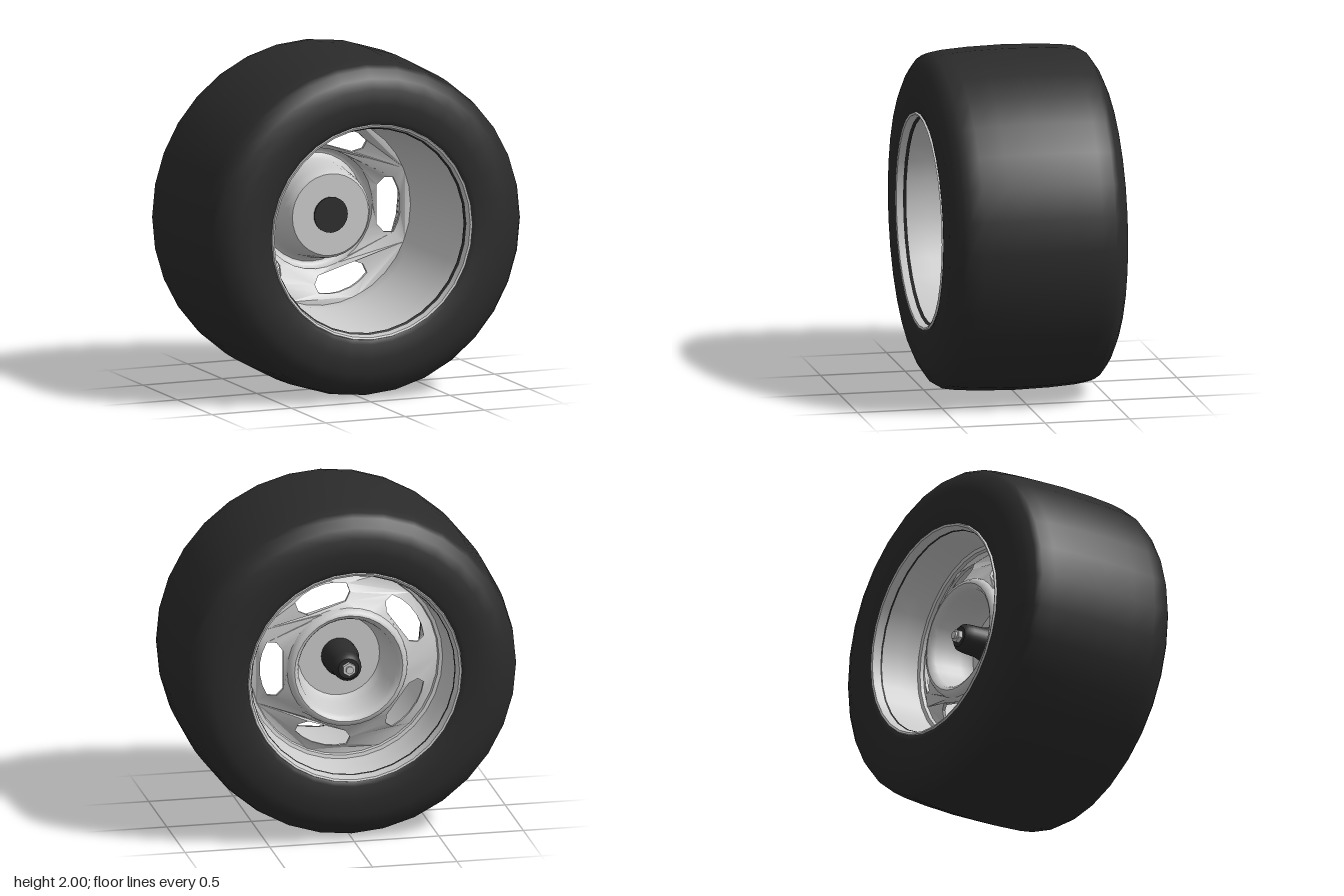
import * as THREE from 'three';
import { toCreasedNormals } from 'three/addons/utils/BufferGeometryUtils.js';

const SEG = 32;
const rubber = new THREE.MeshStandardMaterial({ color: 0x2b2b2b, side: THREE.DoubleSide });
const metal = new THREE.MeshStandardMaterial({ color: 0xcccccc, side: THREE.DoubleSide });

function addMesh(group, name, geometry, material) {
  const mesh = new THREE.Mesh(geometry, material);
  mesh.name = name;
  group.add(mesh);
  return mesh;
}

// Turned part around the z axis from [radius, z] pairs
function turned(profile, crease = 0.7, segments = SEG) {
  const points = profile.map(([r, z]) => new THREE.Vector2(r, z));
  const geometry = new THREE.LatheGeometry(points, segments).rotateX(Math.PI / 2);
  return toCreasedNormals(geometry, crease);
}

// Sloping face plate with five slots, dished by a rule after extruding
function plateGeometry() {
  const outer = 0.56, inner = 0.355, thickness = 0.02;
  const shape = new THREE.Shape().absarc(0, 0, outer, 0, Math.PI * 2);
  shape.holes.push(new THREE.Path().absarc(0, 0, inner, 0, Math.PI * 2, true));
  const half = [[0.375, 0.115], [0.41, 0.16], [0.46, 0.16], [0.487, 0.1], [0.5, 0.04]];
  const slot = [...half, ...half.map(([x, y]) => [x, -y]).reverse()];
  for (let i = 0; i < 5; i++) {
    const angle = (i * Math.PI * 2) / 5;
    const points = slot.map(([x, y]) =>
      new THREE.Vector2(x, y).rotateAround(new THREE.Vector2(), angle));
    shape.holes.push(new THREE.Path(points));
  }
  const geometry = new THREE.ExtrudeGeometry(shape, {
    depth: thickness, bevelEnabled: false, curveSegments: SEG / 2,
  });
  const p = geometry.attributes.position;
  for (let i = 0; i < p.count; i++) {
    const t = (Math.hypot(p.getX(i), p.getY(i)) - inner) / (outer - inner);
    p.setZ(i, p.getZ(i) - 0.31 + 0.1 * t);
  }
  return toCreasedNormals(geometry, 0.6);
}

export function createModel() {
  const wheel = new THREE.Group();
  wheel.name = 'wheel';

  // Wide tyre, symmetrical front to back
  const side = [[0.6, 0.47], [0.625, 0.515], [0.66, 0.527], [0.75, 0.527], [0.84, 0.527],
    [0.9, 0.5], [0.95, 0.465], [0.972, 0.43], [0.985, 0.35], [0.995, 0.2]];
  const tyre = [...side.map(([r, z]) => [r, -z]), [1, 0], ...side.slice().reverse()];
  addMesh(wheel, 'tyre', turned(tyre, 1.2), rubber);

  // Rim barrel: deep front, shallow back, step where the plate seats
  addMesh(wheel, 'rimBarrel', turned([
    [0.635, -0.515], [0.63, -0.53], [0.618, -0.525], [0.605, -0.48], [0.59, -0.35],
    [0.58, -0.235], [0.56, -0.23], [0.552, -0.2], [0.556, -0.1], [0.575, 0.1],
    [0.595, 0.35], [0.608, 0.48], [0.618, 0.525], [0.63, 0.53], [0.635, 0.515],
  ], 0.8), metal);

  addMesh(wheel, 'slottedPlate', plateGeometry(), metal);

  // Rounded bead and the cup that rises to the flat hub face
  addMesh(wheel, 'hubCup', turned([
    [0.36, -0.295], [0.352, -0.325], [0.338, -0.345], [0.32, -0.35], [0.303, -0.34],
    [0.29, -0.31], [0.28, -0.24], [0.268, -0.15], [0.258, -0.105], [0.24, -0.08], [0.1, -0.08],
  ], 0.75), metal);

  // Axle sleeve with a chamfered tip at the back
  addMesh(wheel, 'axle', turned([
    [0, -0.345], [0.06, -0.345], [0.08, -0.325], [0.085, -0.29],
    [0.09, -0.2], [0.105, -0.15], [0.105, -0.07], [0, -0.07],
  ]), rubber);

  // Hexagonal nut with a threaded end
  const nut = new THREE.CylinderGeometry(0.04, 0.04, 0.03, 6).rotateX(Math.PI / 2);
  addMesh(wheel, 'axleNut', toCreasedNormals(nut, 0.5), metal).position.z = -0.355;
  const stud = new THREE.CylinderGeometry(0.022, 0.022, 0.03, 16).rotateX(Math.PI / 2);
  addMesh(wheel, 'axleStud', stud, metal).position.z = -0.37;

  wheel.position.y = 1;
  const model = new THREE.Group();
  model.add(wheel);
  return model;
}
